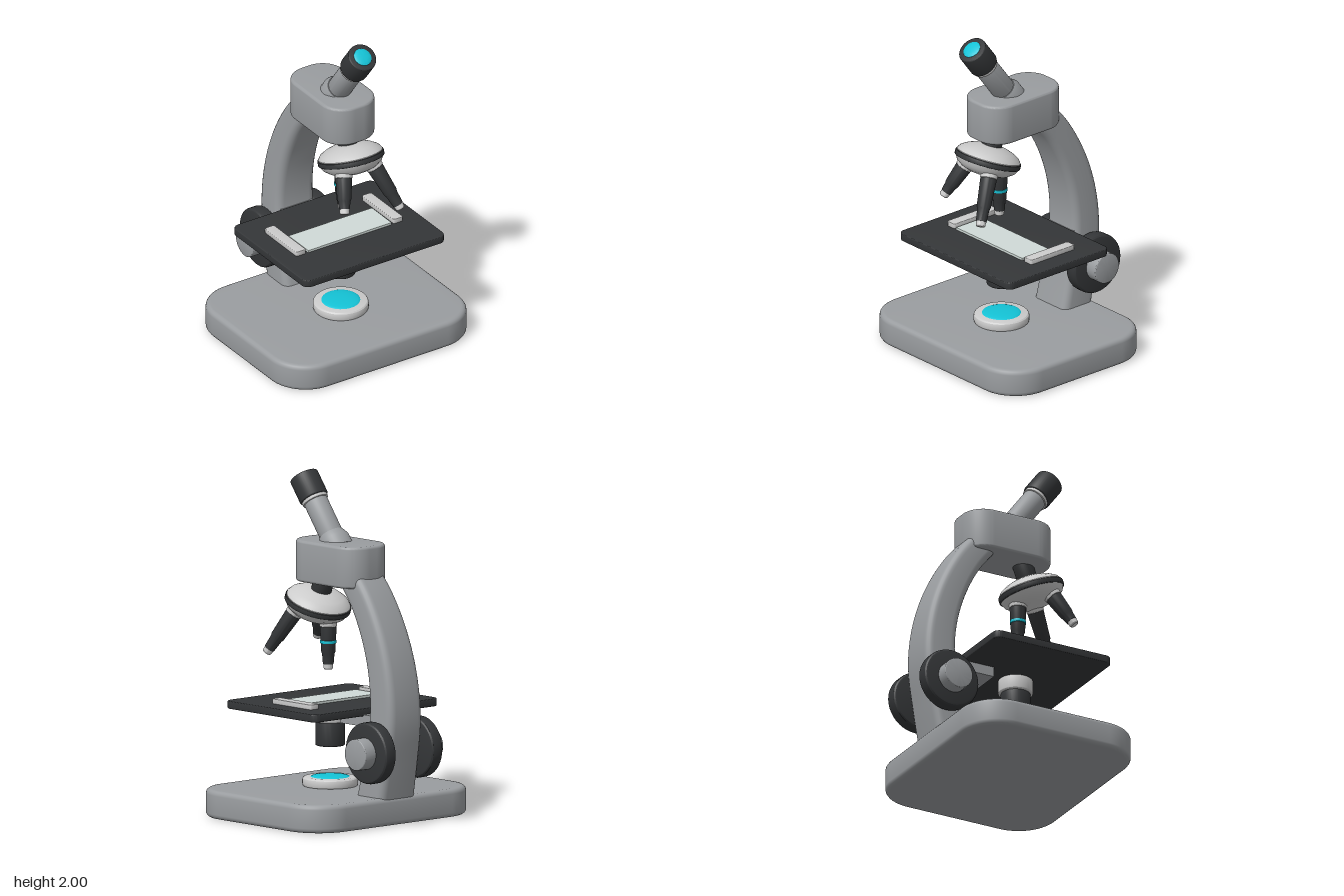
import * as THREE from 'three';
import { toCreasedNormals } from 'three/addons/utils/BufferGeometryUtils.js';

const mat = (color) => new THREE.MeshStandardMaterial({ color });
const BODY = mat(0x9a9da0), WHITE = mat(0xe2e2e2), DARK = mat(0x343638);
const CYAN = mat(0x14c3d6), GLASS = mat(0xd0dad7), CLIP = mat(0xcccccc);

function add(parent, name, geometry, material, x = 0, y = 0, z = 0) {
  const mesh = new THREE.Mesh(geometry, material);
  mesh.name = name;
  mesh.position.set(x, y, z);
  parent.add(mesh);
  return mesh;
}

function group(parent, name, x = 0, y = 0, z = 0) {
  const g = new THREE.Group();
  g.name = name;
  g.position.set(x, y, z);
  parent.add(g);
  return g;
}

// Turned part; the profile runs from bottom to top as [radius, height]
function turned(profile, segments = 40) {
  const pts = profile.map(([r, h]) => new THREE.Vector2(r, h));
  return toCreasedNormals(new THREE.LatheGeometry(pts, segments), 0.5);
}

// Solid disc with rounded rims
function disc(r, h0, h1, b = 0.008) {
  const p = [[0, h0]];
  for (let i = 0; i <= 3; i++) {
    const a = (i / 3) * Math.PI / 2;
    p.push([r - b + b * Math.sin(a), h0 + b - b * Math.cos(a)]);
  }
  for (let i = 0; i <= 3; i++) {
    const a = (i / 3) * Math.PI / 2;
    p.push([r - b + b * Math.cos(a), h1 - b + b * Math.sin(a)]);
  }
  p.push([0, h1]);
  return turned(p);
}

// Shallow lens cap bulging upwards
function lens(r, h, y) {
  const p = [];
  for (let i = 0; i <= 6; i++) {
    const a = (i / 6) * Math.PI / 2;
    p.push([r * Math.cos(a), y + h * Math.sin(a)]);
  }
  return turned(p);
}

// Horizontal slab with rounded plan corners and bevelled edges, sitting on y = 0
function slab(w, d, h, r, b) {
  const x = w / 2 - b, y = d / 2 - b, c = r - b;
  const s = new THREE.Shape();
  s.absarc(x - c, y - c, c, 0, Math.PI / 2);
  s.absarc(-x + c, y - c, c, Math.PI / 2, Math.PI);
  s.absarc(-x + c, -y + c, c, Math.PI, Math.PI * 1.5);
  s.absarc(x - c, -y + c, c, Math.PI * 1.5, Math.PI * 2);
  s.closePath();
  const g = new THREE.ExtrudeGeometry(s, {
    depth: h - 2 * b, bevelSize: b, bevelThickness: b, bevelSegments: 4, curveSegments: 12,
  });
  g.rotateX(-Math.PI / 2);
  g.translate(0, b, 0);
  return toCreasedNormals(g, 0.5);
}

// Curved arm: a tapering rounded rectangle swept along a curve in the yz plane
function armGeometry() {
  const path = new THREE.CatmullRomCurve3([
    [-0.345, 0.08], [-0.4, 0.35], [-0.443, 0.62], [-0.425, 0.85],
    [-0.36, 1.07], [-0.25, 1.28], [-0.12, 1.44],
  ].map(([z, y]) => new THREE.Vector3(0, y, z)));
  const steps = 40, corner = 5, n = 4 * (corner + 1), pos = [], idx = [];
  for (let i = 0; i <= steps; i++) {
    const t = i / steps, c = path.getPointAt(t), d = path.getTangentAt(t);
    const hw = 0.142 - 0.03 * t, hd = 0.113 - 0.03 * t, r = 0.045;
    for (let q = 0; q < 4; q++) {
      const sx = q === 0 || q === 3 ? 1 : -1, sz = q < 2 ? 1 : -1;
      for (let k = 0; k <= corner; k++) {
        const a = (q + k / corner) * Math.PI / 2;
        const u = sx * (hw - r) + r * Math.cos(a), v = sz * (hd - r) + r * Math.sin(a);
        pos.push(u, c.y - v * d.z, c.z + v * d.y);
      }
    }
  }
  for (let i = 0; i < steps; i++) {
    for (let k = 0; k < n; k++) {
      const a = i * n + k, b = i * n + (k + 1) % n;
      idx.push(a, a + n, b, b, a + n, b + n);
    }
  }
  const top = steps * n;
  for (let k = 1; k < n - 1; k++) {
    idx.push(0, k, k + 1, top, top + k + 1, top + k);
  }
  const g = new THREE.BufferGeometry();
  g.setAttribute('position', new THREE.Float32BufferAttribute(pos, 3));
  g.setIndex(idx);
  return toCreasedNormals(g, 0.5);
}

// Objective lens barrel hanging down from its mount
function objective(parent, angle, length, banded) {
  const pivot = group(parent, 'objectivePivot');
  pivot.rotation.y = angle;
  const o = group(pivot, 'objective', 0, -0.07, 0.12);
  o.rotation.x = -0.35;
  add(o, 'objectiveCollar', disc(0.051, -0.02, 0.04, 0.005), WHITE);
  const step = -length * 0.62;
  add(o, 'objectiveBarrel', turned([
    [0, -length + 0.03], [0.031, -length + 0.03], [0.036, step - 0.012],
    [0.041, step], [0.048, -0.03], [0.048, -0.015], [0, -0.015],
  ]), DARK);
  add(o, 'objectiveTip', turned([
    [0, -length], [0.023, -length], [0.028, -length + 0.008], [0.029, -length + 0.035], [0, -length + 0.035],
  ]), WHITE);
  if (banded) add(o, 'objectiveBand', disc(0.0475, -0.118, -0.1, 0.002), CYAN);
}

export function createModel() {
  const model = new THREE.Group();
  model.name = 'microscope';

  // Base, lamp and arm
  add(model, 'base', slab(1.31, 1.09, 0.165, 0.24, 0.028), BODY, 0, 0, 0.065);
  const lamp = group(model, 'lamp', 0, 0.16, 0.115);
  add(lamp, 'lampRing', disc(0.162, 0, 0.058, 0.018), WHITE);
  add(lamp, 'lampLens', lens(0.115, 0.014, 0.056), CYAN);
  add(model, 'arm', armGeometry(), BODY);

  // Stage with slide, clips, bracket and condenser
  add(model, 'stage', slab(0.98, 0.775, 0.046, 0.045, 0.006), DARK, 0, 0.625, 0.0975);
  add(model, 'stageBracket', new THREE.BoxGeometry(0.22, 0.07, 0.265), BODY, 0, 0.6, -0.2225);
  add(model, 'slide', new THREE.BoxGeometry(0.58, 0.018, 0.205), GLASS, 0, 0.676, 0.1075);
  for (const s of [1, -1]) {
    add(model, 'stageClip', slab(0.066, 0.335, 0.032, 0.012, 0.004), CLIP, s * 0.338, 0.668, 0.0425);
  }
  const condenser = group(model, 'condenser', 0, 0, 0.115);
  add(condenser, 'condenserCollar', disc(0.102, 0.54, 0.63, 0.012), WHITE);
  add(condenser, 'condenserBarrel', disc(0.086, 0.4, 0.55, 0.008), DARK);

  // Focus knobs on both sides
  const focus = group(model, 'focusKnobs', 0, 0.435, -0.432);
  add(focus, 'focusAxle', new THREE.CylinderGeometry(0.05, 0.05, 0.3, 24).rotateZ(Math.PI / 2), BODY);
  for (const s of [1, -1]) {
    const knob = group(focus, 'focusKnob');
    knob.rotation.z = -s * Math.PI / 2;
    add(knob, 'focusWheel', disc(0.18, 0.14, 0.226, 0.02), DARK);
    add(knob, 'focusCap', disc(0.092, 0.2, 0.306, 0.008), BODY);
  }

  // Head
  add(model, 'head', slab(0.336, 0.565, 0.243, 0.14, 0.016), BODY, 0, 1.362, 0.0275);

  // Tilted eyepiece
  const eye = group(model, 'eyepiece', 0, 1.6, 0.08);
  eye.rotation.x = 0.643;
  add(eye, 'eyepieceCollar', turned([[0, -0.06], [0.093, -0.06], [0.093, 0.005], [0.074, 0.045], [0, 0.045]]), BODY);
  add(eye, 'eyepieceTube', disc(0.07, 0, 0.3, 0.004), BODY);
  add(eye, 'eyepieceRing', disc(0.078, 0.264, 0.29, 0.004), WHITE);
  add(eye, 'eyecup', disc(0.086, 0.283, 0.438, 0.01), DARK);
  add(eye, 'eyepieceLens', lens(0.055, 0.012, 0.437), CYAN);

  // Revolving nosepiece with three objectives
  const nose = group(model, 'nosepiece', 0, 1.22, 0.22);
  nose.rotation.x = -0.35;
  add(nose, 'nosepieceNeck', disc(0.06, 0.05, 0.22, 0.004), DARK);
  add(nose, 'turretTop', turned([
    [0, 0], [0.19, 0], [0.19, 0.022], [0.175, 0.042], [0.14, 0.062], [0.1, 0.077], [0.06, 0.086], [0, 0.09],
  ]), WHITE);
  add(nose, 'turretBand', disc(0.196, -0.016, 0.018, 0.006), DARK);
  add(nose, 'turretUnderside', turned([
    [0, -0.085], [0.1, -0.083], [0.14, -0.068], [0.175, -0.042], [0.19, -0.014], [0, -0.01],
  ]), WHITE);
  objective(nose, Math.PI, 0.27, true);
  objective(nose, Math.PI / 3, 0.305, false);
  objective(nose, -Math.PI / 3, 0.23, false);

  return model;
}
